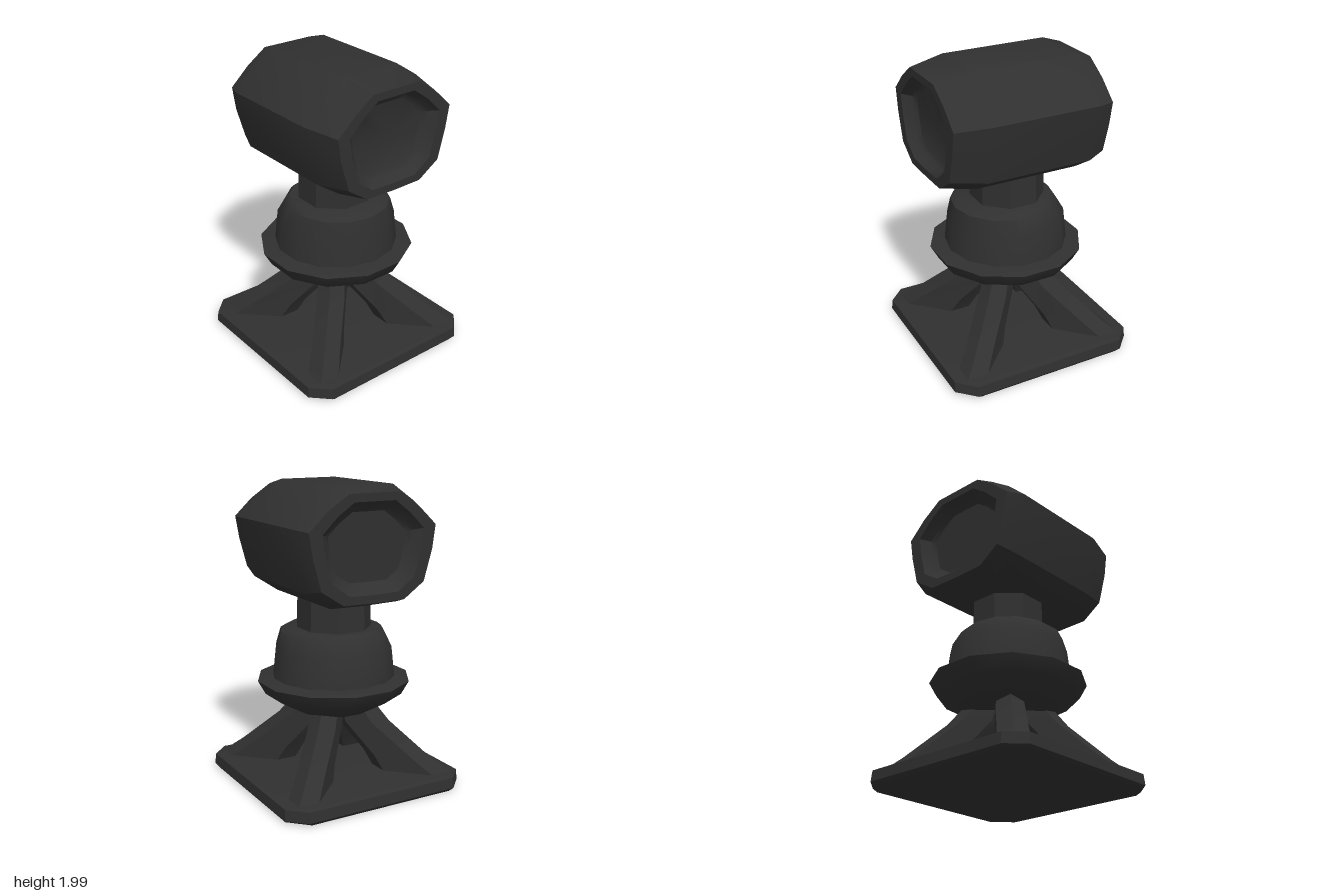
import * as THREE from 'three';
import { toCreasedNormals } from 'three/addons/utils/BufferGeometryUtils.js';

// Skin between equal-length rings of points, with a fan closing each end
function loft(rings, crease = 0.7) {
  const pos = [];
  const tri = (...pts) => pts.forEach((p) => pos.push(p.x, p.y, p.z));
  const n = rings[0].length;
  const centre = (ring) => ring.reduce((s, p) => s.add(p), new THREE.Vector3()).divideScalar(n);
  const first = rings[0], last = rings[rings.length - 1];
  const c0 = centre(first), c1 = centre(last);
  for (let j = 0; j < n; j++) {
    const k = (j + 1) % n;
    for (let i = 0; i < rings.length - 1; i++) {
      const a = rings[i], b = rings[i + 1];
      tri(a[j], a[k], b[k]);
      tri(a[j], b[k], b[j]);
    }
    tri(c0, first[k], first[j]);
    tri(c1, last[j], last[k]);
  }
  const geo = new THREE.BufferGeometry();
  geo.setAttribute('position', new THREE.Float32BufferAttribute(pos, 3));
  return toCreasedNormals(geo, crease);
}

// Horizontal ring around the y axis
function roundRing(r, y, sides, turn = 0, z = 0) {
  return Array.from({ length: sides }, (_, i) => {
    const a = ((i + turn) / sides) * Math.PI * 2;
    return new THREE.Vector3(Math.sin(a) * r, y, Math.cos(a) * r + z);
  });
}

// Horizontal ring from [z, x] pairs
const flatRing = (pairs, y) => pairs.map(([z, x]) => new THREE.Vector3(x, y, z));

export function createModel() {
  const group = new THREE.Group();
  const charcoal = new THREE.MeshStandardMaterial({ color: 0x303030 });
  charcoal.name = 'charcoal';
  const add = (name, geo) => {
    const mesh = new THREE.Mesh(geo, charcoal);
    mesh.name = name;
    group.add(mesh);
    return mesh;
  };

  // Square base plate with clipped corners
  const plate = (h, c) => [[h, c - h], [h, h - c], [h - c, h], [c - h, h],
    [-h, h - c], [-h, c - h], [c - h, -h], [h - c, -h]];
  add('basePlate', loft([
    flatRing(plate(0.63, 0.12), 0),
    flatRing(plate(0.645, 0.11), 0.02),
    flatRing(plate(0.64, 0.11), 0.09),
    flatRing(plate(0.61, 0.11), 0.1),
  ]));

  // Four legs leaning in from the corners, longer along the diagonal
  const legSection = (i, o, w, y) => flatRing(
    [[i, i], [i + w, i], [o, o - w], [o, o], [o - w, o], [i, i + w]], y);
  const legGeo = loft([
    legSection(0.2, 0.58, 0.14, 0.08),
    legSection(0.15, 0.46, 0.13, 0.2),
    legSection(0.01, 0.27, 0.13, 0.42),
    legSection(0, 0.21, 0.12, 0.52),
  ]);
  for (let i = 0; i < 4; i++) {
    add('leg' + (i + 1), legGeo).rotation.y = (i * Math.PI) / 2;
  }

  // Dish resting on the legs
  add('dish', loft([[0.25, 0.49], [0.46, 0.61], [0.51, 0.7], [0.4, 0.72]]
    .map(([r, y]) => roundRing(r, y, 12, 0.5))));

  // Tapered drum with a sloped rear shoulder
  add('drum', loft([
    roundRing(0.41, 0.69, 14),
    roundRing(0.385, 0.92, 14),
    roundRing(0.345, 1.02, 14, 0, 0.02),
    roundRing(0.31, 1.045, 14, 0, 0.01),
  ]));

  // Neck
  add('neck', loft([
    roundRing(0.245, 1.02, 8, 0.5, -0.01),
    roundRing(0.24, 1.3, 8, 0.5, -0.01),
  ]));

  // Faceted barrel head lying along z, dished at both ends
  const outline = [[0.5, 1.75], [0.36, 1.88], [0.2, 1.985], [-0.2, 1.985], [-0.35, 1.88],
    [-0.49, 1.75], [-0.465, 1.58], [-0.4, 1.36], [-0.24, 1.25], [0, 1.245], [0.24, 1.25],
    [0.41, 1.36], [0.47, 1.58]];
  const headRing = (z, sx, sy) =>
    outline.map(([x, y]) => new THREE.Vector3(x * sx, 1.62 + (y - 1.62) * sy, z));
  add('head', loft([
    headRing(-0.42, 0.56, 0.58),
    headRing(-0.44, 0.62, 0.64),
    headRing(-0.5, 0.72, 0.76),
    headRing(-0.5, 0.9, 0.9),
    headRing(-0.38, 1, 1),
    headRing(0.33, 1, 1),
    headRing(0.56, 0.87, 0.88),
    headRing(0.56, 0.7, 0.75),
    headRing(0.5, 0.61, 0.66),
    headRing(0.48, 0.55, 0.58),
  ], 0.6));

  return group;
}
